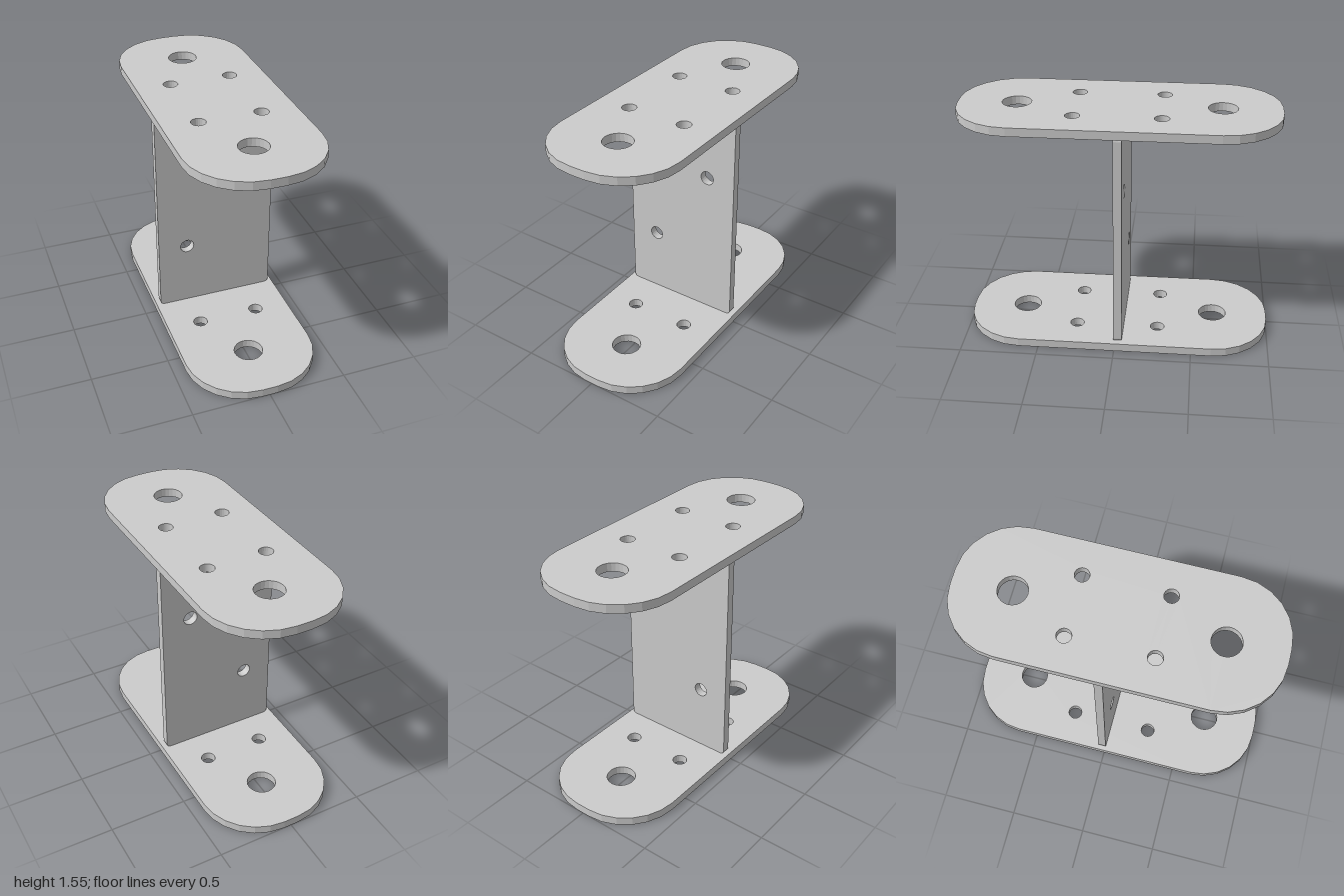
import * as THREE from 'three';

const material = new THREE.MeshStandardMaterial({ color: 0xcccccc, flatShading: true });

// Rounded rectangle centred on the origin, with round holes given as [x, y, radius]
function plateShape(halfW, halfH, r, holes) {
  const shape = new THREE.Shape();
  const cx = halfW - r, cy = halfH - r;
  [[cx, cy], [-cx, cy], [-cx, -cy], [cx, -cy]].forEach(([x, y], i) =>
    shape.absarc(x, y, r, i * Math.PI / 2, (i + 1) * Math.PI / 2, false));
  for (const [x, y, radius] of holes) {
    const points = [];
    for (let i = 0; i < 24; i++) {
      const a = -i / 24 * Math.PI * 2;
      points.push(new THREE.Vector2(x + radius * Math.cos(a), y + radius * Math.sin(a)));
    }
    shape.holes.push(new THREE.Path(points));
  }
  return shape;
}

function plate(name, shape, depth) {
  // curveSegments 3 gives six facets per corner
  const geometry = new THREE.ExtrudeGeometry(shape, { depth, bevelEnabled: false, curveSegments: 3 });
  const mesh = new THREE.Mesh(geometry, material);
  mesh.name = name;
  return mesh;
}

export function createModel() {
  const group = new THREE.Group();
  group.name = 'bracket';
  const thickness = 0.055, height = 1.55;

  // Two flanges: a large hole near each end and four small ones about the web
  const holes = [[0, 0.635, 0.092], [0, -0.635, 0.092]];
  for (const x of [-0.197, 0.197]) holes.push([x, 0.272, 0.046], [x, -0.265, 0.046]);
  const flangeShape = plateShape(0.42, 1, 0.37, holes);
  for (const [name, y] of [['bottomFlange', 0], ['topFlange', height - thickness]]) {
    const flange = plate(name, flangeShape, thickness);
    flange.rotation.x = -Math.PI / 2;
    flange.position.y = y;
    group.add(flange);
  }

  // Upright web, set just behind the centre, with two diagonal holes
  const webShape = plateShape(0.392, height / 2 - thickness, 0.025,
    [[0.197, 0.284, 0.046], [-0.197, -0.279, 0.046]]);
  const web = plate('web', webShape, 0.053);
  web.position.set(0, height / 2, -0.048);
  group.add(web);

  return group;
}
